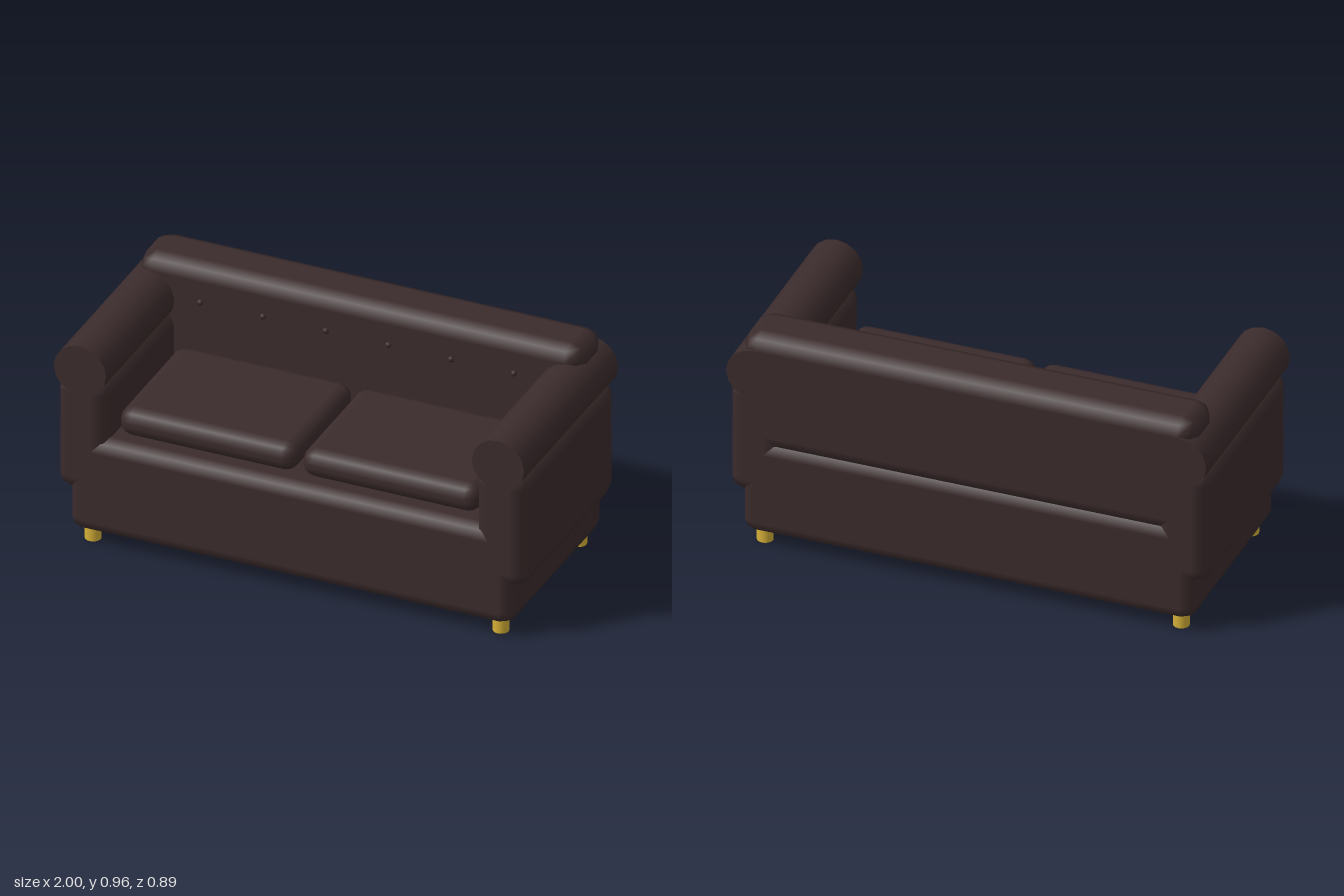
import * as THREE from 'three';
import { RoundedBoxGeometry } from 'three/addons/geometries/RoundedBoxGeometry.js';

export function createModel() {
  const sofa = new THREE.Group();
  sofa.name = 'sofa';

  const leather = new THREE.MeshStandardMaterial({ color: 0x3b2b2c });
  leather.name = 'dark brown leather';
  const brass = new THREE.MeshStandardMaterial({ color: 0xd4af37 });
  brass.name = 'brass';

  const add = (name, geometry, material, x, y, z) => {
    const mesh = new THREE.Mesh(geometry, material);
    mesh.name = name;
    mesh.position.set(x, y, z);
    sofa.add(mesh);
    return mesh;
  };

  // Padded block given by its extents on each axis
  const pad = (name, [x0, x1], [y0, y1], [z0, z1], radius, segments) =>
    add(name, new RoundedBoxGeometry(x1 - x0, y1 - y0, z1 - z0, segments, radius),
      leather, (x0 + x1) / 2, (y0 + y1) / 2, (z0 + z1) / 2);

  // Seat base and backrest
  pad('base', [-0.944, 0.944], [0.056, 0.48], [-0.444, 0.444], 0.057, 1);
  pad('backrest', [-0.944, 0.944], [0.445, 0.956], [-0.444, -0.2], 0.066, 1);

  const rollGeometry = new THREE.CylinderGeometry(0.111, 0.111, 0.888, 16).rotateX(Math.PI / 2);
  const legGeometry = new THREE.CylinderGeometry(0.033, 0.033, 0.07, 16);
  const buttonGeometry = new THREE.SphereGeometry(0.013, 10, 8);

  for (const [side, s] of [['left', 1], ['right', -1]]) {
    const span = (a, b) => (s > 0 ? [a, b] : [-b, -a]);

    // Arm panel with its rolled top
    pad(side + 'Arm', span(0.78, 1), [0.228, 0.74], [-0.443, 0.443], 0.066, 1);
    add(side + 'ArmRoll', rollGeometry, leather, s * 0.889, 0.78, 0);

    // Seat cushion
    pad(side + 'Cushion', span(0.01, 0.766), [0.478, 0.6], [-0.21, 0.374], 0.056, 2);

    // Short brass legs
    add(side + 'FrontLeg', legGeometry, brass, s * 0.867, 0.035, 0.367);
    add(side + 'BackLeg', legGeometry, brass, s * 0.867, 0.035, -0.367);

    // Tufting buttons across the backrest
    for (let i = 0; i < 3; i++) {
      add(side + 'Button' + (i + 1), buttonGeometry, leather, s * (0.133 + i * 0.267), 0.802, -0.198);
    }
  }

  return sofa;
}
